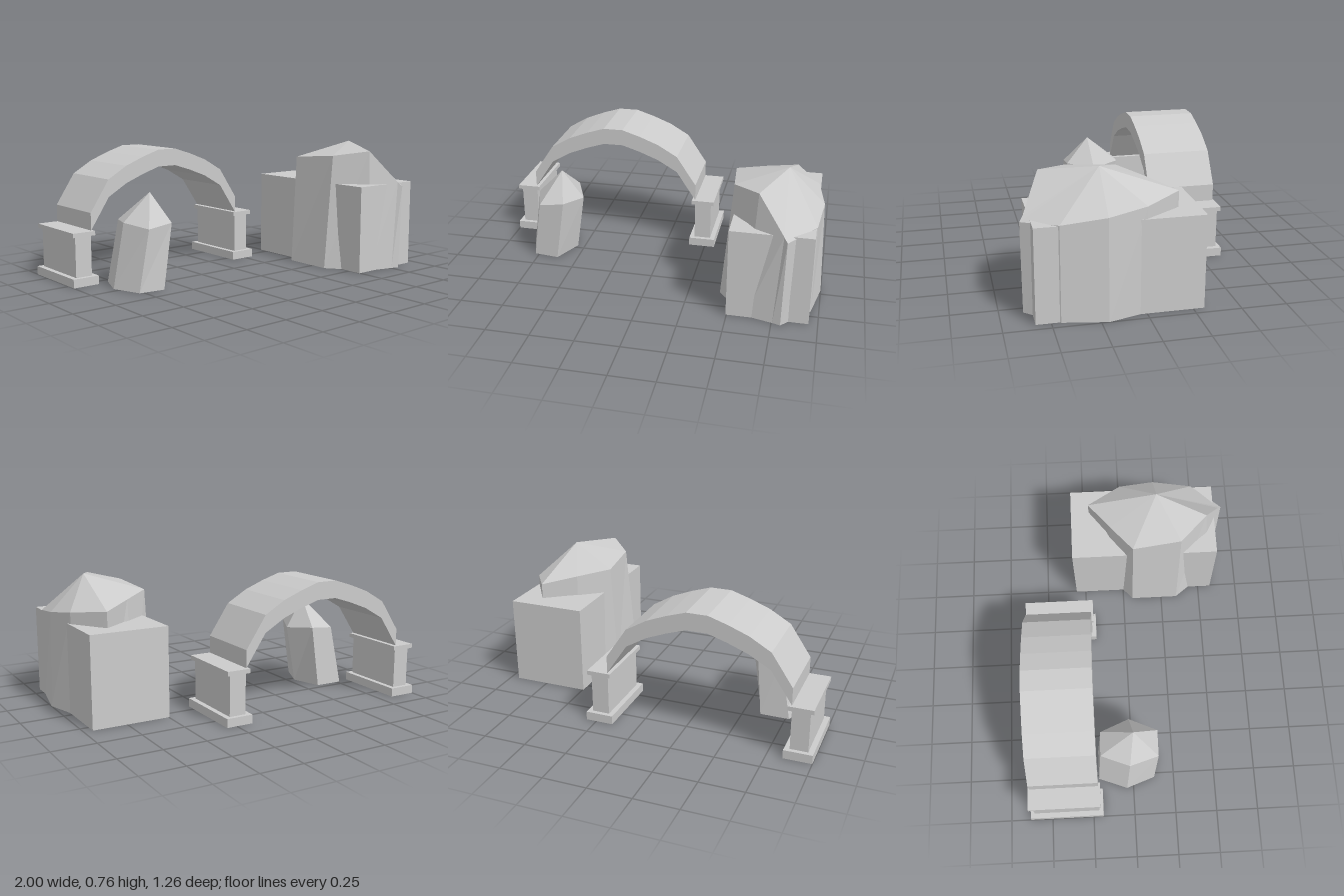
import * as THREE from 'three';

const material = new THREE.MeshStandardMaterial({ color: 0xcccccc, flatShading: true, side: THREE.DoubleSide });

function add(parent, name, geometry, x = 0, y = 0, z = 0) {
  const mesh = new THREE.Mesh(geometry, material);
  mesh.name = name;
  mesh.position.set(x, y, z);
  parent.add(mesh);
  return mesh;
}

// Faceted stone: walls join a foot ring to a shoulder ring, facets close to a peak.
// Rings run counter-clockwise seen from above; foot points are [x, z].
function stone(foot, shoulder, peak) {
  const low = foot.map(([x, z]) => [x, 0, z]);
  const n = low.length;
  const centre = [0, 1, 2].map((k) => low.reduce((sum, p) => sum + p[k], 0) / n);
  const out = [];
  for (let i = 0; i < n; i++) {
    const j = (i + 1) % n;
    out.push(...low[i], ...low[j], ...shoulder[j]);
    out.push(...low[i], ...shoulder[j], ...shoulder[i]);
    out.push(...shoulder[i], ...shoulder[j], ...peak);
    out.push(...low[j], ...low[i], ...centre);
  }
  const geometry = new THREE.BufferGeometry();
  geometry.setAttribute('position', new THREE.Float32BufferAttribute(out, 3));
  geometry.computeVertexNormals();
  return geometry;
}

// Arch band of constant vertical thickness
function archGeometry() {
  const half = [[0.525, 0.41], [0.405, 0.59], [0.285, 0.66], [0.17, 0.705], [0.06, 0.74]];
  const upper = [...half.map(([x, y]) => [-x, y]), ...half.slice().reverse()];
  const lower = upper.map(([x, y]) => [x, y - 0.1]).reverse();
  const shape = new THREE.Shape([...upper, ...lower].map(([x, y]) => new THREE.Vector2(x, y)));
  return new THREE.ExtrudeGeometry(shape, { depth: 0.4, bevelEnabled: false });
}

export function createModel() {
  const model = new THREE.Group();
  model.name = 'archAndRocks';

  // Bridge: arch on two piers
  const bridge = new THREE.Group();
  bridge.name = 'bridge';
  bridge.position.set(-0.345, 0, -0.41);
  model.add(bridge);
  add(bridge, 'archSpan', archGeometry(), 0, 0, -0.2);
  for (const side of [-1, 1]) {
    const pier = new THREE.Group();
    pier.name = side < 0 ? 'rightPier' : 'leftPier';
    pier.position.x = side * 0.575;
    bridge.add(pier);
    add(pier, 'pierBase', new THREE.BoxGeometry(0.16, 0.05, 0.44), 0, 0.025, 0);
    add(pier, 'pierShaft', new THREE.BoxGeometry(0.1, 0.23, 0.39), 0, 0.165, 0);
    add(pier, 'pierCap', new THREE.BoxGeometry(0.14, 0.025, 0.42), 0, 0.295, 0);
  }

  // Small leaning pointed stone
  add(model, 'smallStone', stone(
    [[-0.775, 0.13], [-0.625, 0.15], [-0.545, -0.03], [-0.6, -0.21], [-0.77, -0.21], [-0.835, -0.04]],
    [[-0.72, 0.35, 0.15], [-0.57, 0.37, 0.15], [-0.49, 0.35, -0.015],
      [-0.565, 0.37, -0.185], [-0.705, 0.36, -0.19], [-0.775, 0.37, -0.02]],
    [-0.615, 0.53, 0.005]));

  // Large rock set through a block
  add(model, 'rockBlock', new THREE.BoxGeometry(0.455, 0.52, 0.89), 0.7225, 0.26, 0.135);
  add(model, 'largeRock', stone(
    [[0.6, 0.57], [0.755, 0.61], [0.8, 0.625], [0.955, 0.45], [1, 0.21],
      [0.94, 0], [0.8, -0.19], [0.62, -0.11], [0.43, 0.06], [0.43, 0.35]],
    [[0.64, 0.72, 0.51], [0.79, 0.53, 0.61], [0.81, 0.505, 0.63], [0.955, 0.525, 0.45], [0.98, 0.555, 0.21],
      [0.94, 0.585, 0], [0.805, 0.61, -0.2], [0.63, 0.64, -0.07], [0.465, 0.665, 0.06], [0.49, 0.69, 0.35]],
    [0.775, 0.76, 0.215]));

  return model;
}
